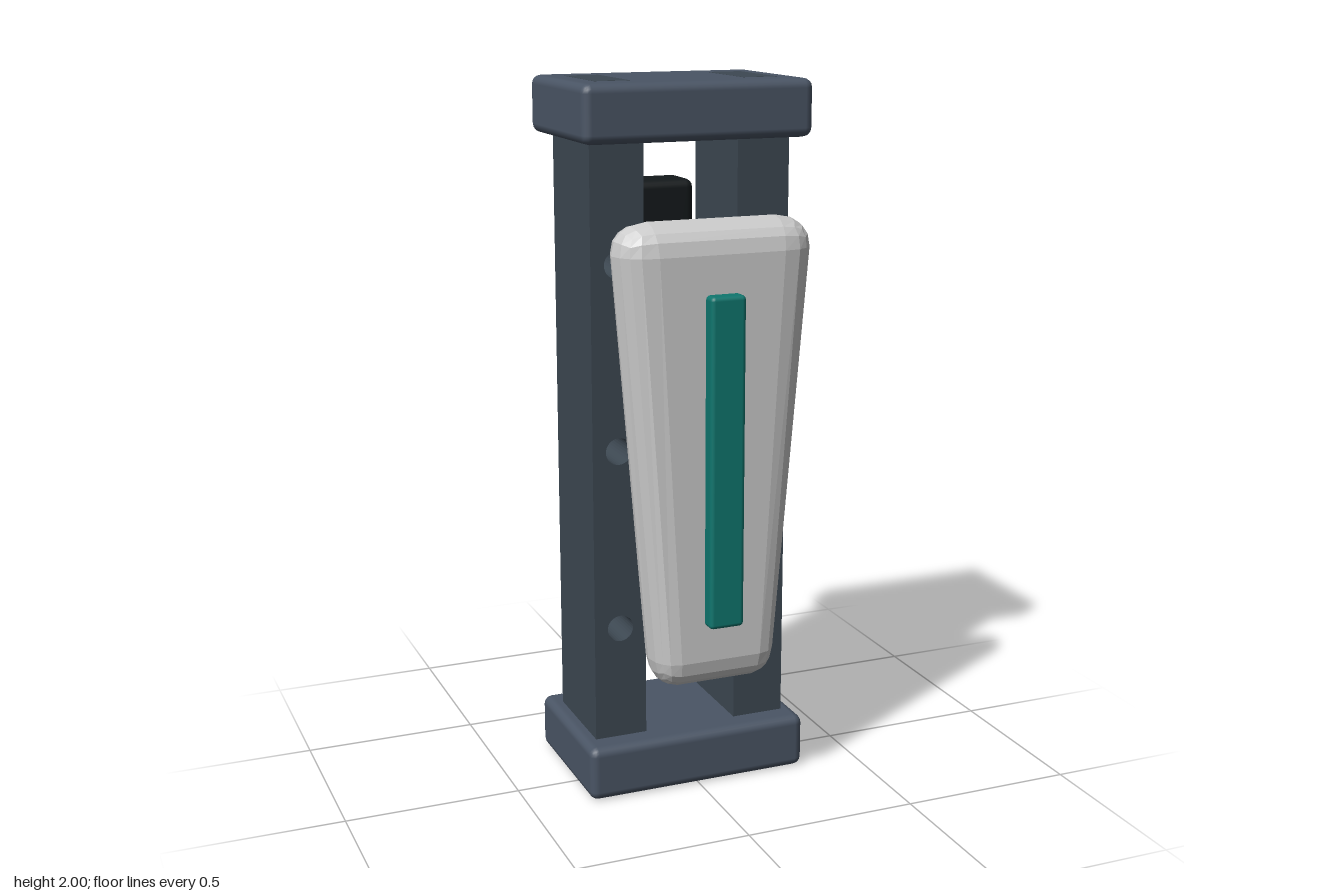
import * as THREE from 'three';
import { RoundedBoxGeometry } from 'three/addons/geometries/RoundedBoxGeometry.js';

const paint = (color, flatShading = false) => new THREE.MeshStandardMaterial({ color, flatShading });

export function createModel() {
  const model = new THREE.Group();
  const capMat = paint(0x4a5565), railMat = paint(0x3d4852);
  const plateMat = paint(0xd2d2d6, true), tealMat = paint(0x0f766e), packMat = paint(0x14191b);

  const add = (name, geometry, material, x = 0, y = 0, z = 0) => {
    const mesh = new THREE.Mesh(geometry, material);
    mesh.name = name;
    mesh.position.set(x, y, z);
    model.add(mesh);
    return mesh;
  };

  // End caps
  const capGeo = new RoundedBoxGeometry(0.66, 0.157, 0.445, 2, 0.025);
  add('bottomCap', capGeo, capMat, 0, 0.0785, -0.0675);
  add('topCap', capGeo, capMat, 0, 1.9215, -0.0675);

  // Rail profile with three holes running front to back
  const railShape = new THREE.Shape([
    new THREE.Vector2(-0.0765, 0.1), new THREE.Vector2(0.0765, 0.1),
    new THREE.Vector2(0.0765, 1.9), new THREE.Vector2(-0.0765, 1.9),
  ]);
  for (const y of [0.483, 1, 1.517]) {
    railShape.holes.push(new THREE.Path().absarc(0, y, 0.038, 0, Math.PI * 2, true));
  }
  const railGeo = new THREE.ExtrudeGeometry(railShape, { depth: 0.296, bevelEnabled: false, curveSegments: 16 });

  // Rails and the rail ends showing flush in the caps
  const endGeo = new THREE.BoxGeometry(0.1, 0.02, 0.245);
  for (const [side, s] of [['left', 1], ['right', -1]]) {
    add(side + 'Rail', railGeo, railMat, s * 0.2135, 0, -0.214);
    add(side + 'TopRailEnd', endGeo, railMat, s * 0.2135, 1.9905, -0.0675);
    add(side + 'BottomRailEnd', endGeo, railMat, s * 0.2135, 0.0095, -0.0675);
  }

  // Front plate: rounded slab, narrowing towards the bottom
  const plateGeo = new RoundedBoxGeometry(0.465, 1.295, 0.17, 2, 0.0849);
  const pos = plateGeo.attributes.position;
  for (let i = 0; i < pos.count; i++) pos.setX(i, pos.getX(i) * (1 + 0.375 * pos.getY(i)));
  plateGeo.computeVertexNormals();
  add('frontPlate', plateGeo, plateMat, 0, 1.0025, 0.22);

  // Raised strip on the plate
  add('accentStrip', new RoundedBoxGeometry(0.1, 0.917, 0.06, 2, 0.012), tealMat, 0, 1.003, 0.315);

  // Back pack
  add('backPack', new RoundedBoxGeometry(0.264, 1.394, 0.137, 2, 0.024), packMat, 0, 1.003, -0.2765);

  return model;
}
